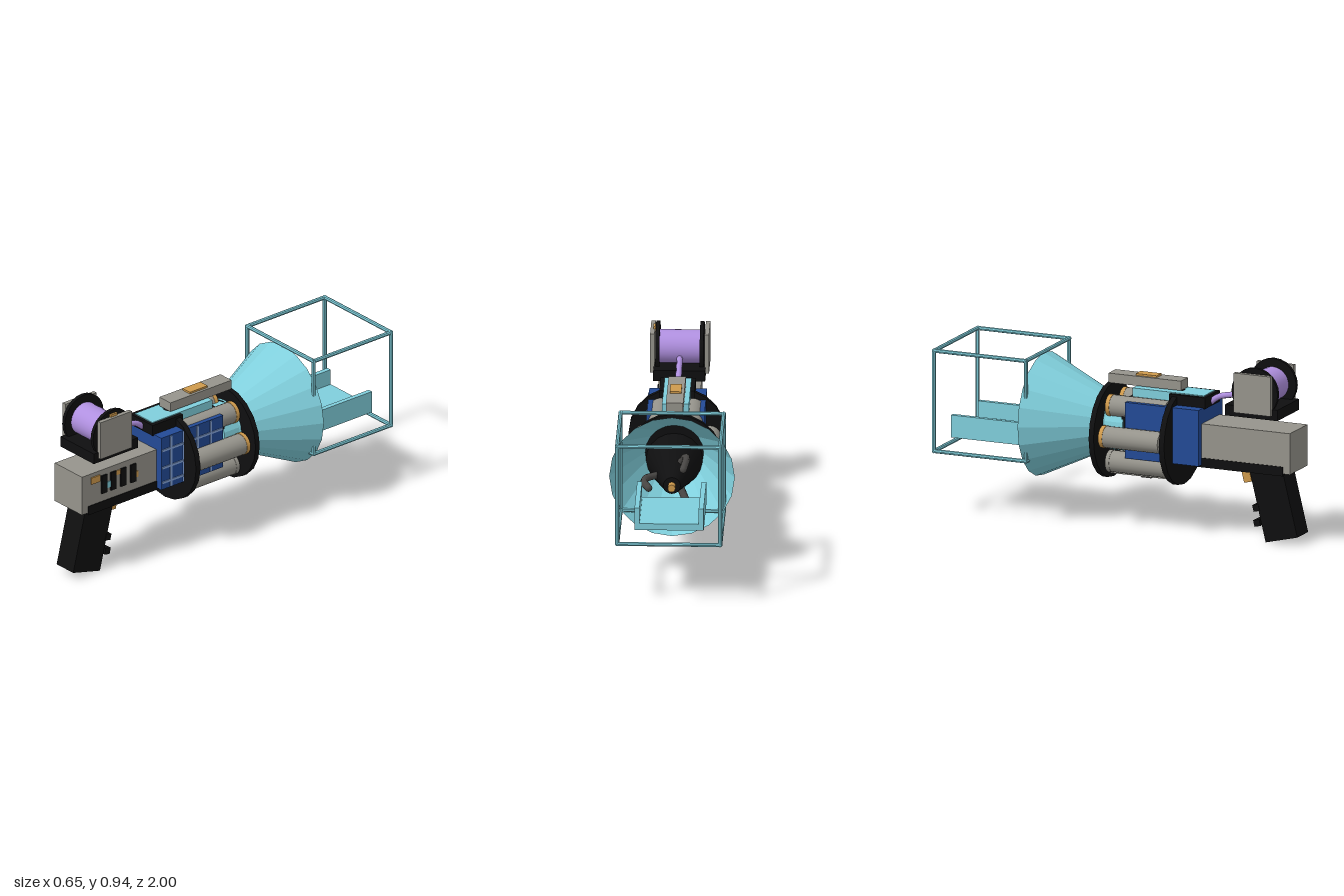
import * as THREE from 'three';

const mat = (name, color, extra = {}) => {
  const m = new THREE.MeshStandardMaterial({ color, ...extra });
  m.name = name;
  return m;
};

export function createModel() {
  const cyan = mat('cyan', 0x80cfdc, { flatShading: true, side: THREE.DoubleSide });
  const purple = mat('purple', 0xb090e0);
  const black = mat('black', 0x0f0f10);
  const grey = mat('grey', 0x96948c);
  const blue = mat('blue', 0x234a96);
  const gold = mat('gold', 0xcf9a4c);
  const dark = mat('dark grey', 0x484644);
  const line = mat('light blue', 0x86a6dc);

  const model = new THREE.Group();
  model.name = 'gadgetBlaster';
  const add = (name, geo, m, parent = model) => {
    const mesh = new THREE.Mesh(geo, m);
    mesh.name = name;
    parent.add(mesh);
    return mesh;
  };
  // box given by its limits on each axis
  const box = (name, m, x0, x1, y0, y1, z0, z1) => {
    const b = add(name, new THREE.BoxGeometry(x1 - x0, y1 - y0, z1 - z0), m);
    b.position.set((x0 + x1) / 2, (y0 + y1) / 2, (z0 + z1) / 2);
    return b;
  };
  // cylinder along z, r0 at z0 (back) and r1 at z1 (front)
  const rod = (name, m, x, y, z0, z1, r0, r1 = r0, sides = 20, open = false) => {
    const g = new THREE.CylinderGeometry(r1, r0, z1 - z0, sides, 1, open).rotateX(Math.PI / 2);
    const c = add(name, g, m);
    c.position.set(x, y, (z0 + z1) / 2);
    return c;
  };
  const tube = (name, m, pts, r) => add(name, new THREE.TubeGeometry(
    new THREE.CatmullRomCurve3(pts.map(p => new THREE.Vector3(...p))), 12, r, 8), m);

  // Receiver, rail, grip and trigger
  box('receiver', grey, -0.11, 0.11, 0.39, 0.61, 0.44, 0.98);
  box('underRail', black, -0.114, 0.114, 0.378, 0.428, 0.43, 0.94);
  const grip = add('grip', new THREE.BoxGeometry(0.134, 0.39, 0.187), black);
  grip.position.set(0, 0.213, 0.866);
  grip.rotation.x = -0.24;
  for (const [y, z] of [[0.18, 0.767], [0.1, 0.772]]) {
    const ridge = add('gripRidge', new THREE.BoxGeometry(0.14, 0.035, 0.035), black);
    ridge.position.set(0, y, z);
    ridge.rotation.x = -0.24;
  }
  const trigger = add('trigger', new THREE.BoxGeometry(0.045, 0.08, 0.045), gold);
  trigger.position.set(0, 0.34, 0.69);
  trigger.rotation.x = -0.24;

  // Side indicator slots and small lamps
  for (const z of [0.832, 0.77, 0.703, 0.635]) {
    box('indicatorSlot', black, 0.11, 0.119, 0.475, 0.578, z - 0.018, z + 0.018);
  }
  box('lamp', gold, 0.11, 0.117, 0.55, 0.588, 0.86, 0.92);
  box('lamp', gold, 0.11, 0.115, 0.55, 0.575, 0.72, 0.755);
  box('lamp', gold, 0.11, 0.115, 0.495, 0.53, 0.6, 0.62);
  box('lampCyan', cyan, 0.11, 0.115, 0.495, 0.53, 0.785, 0.815);

  // Spool and its carrier
  const spoolPart = (name, m, r, x0, x1, sides) => {
    const c = add(name, new THREE.CylinderGeometry(r, r, x1 - x0, sides).rotateZ(Math.PI / 2), m);
    c.position.set((x0 + x1) / 2, 0.812, 0.785);
  };
  spoolPart('spoolWinding', purple, 0.088, -0.106, 0.106, 32);
  for (const s of [-1, 1]) {
    spoolPart('spoolFlange', black, 0.132, s * 0.115 - 0.01, s * 0.115 + 0.01, 24);
    const plate = add('spoolSidePlate', new THREE.BoxGeometry(0.023, 0.212, 0.212), grey);
    plate.position.set(s * 0.142, 0.808, 0.784);
  }
  box('spoolBase', black, -0.135, 0.135, 0.677, 0.735, 0.62, 0.92);
  box('spoolCatch', gold, 0.128, 0.139, 0.9, 0.928, 0.762, 0.808);
  tube('tether', purple, [[0, 0.775, 0.7], [0, 0.755, 0.6], [0, 0.735, 0.52], [0, 0.69, 0.46]], 0.016);

  // Main body with grid panel on the left side
  box('body', blue, -0.15, 0.15, 0.39, 0.69, 0.055, 0.475);
  for (const z of [0.41, 0.32, 0.23, 0.14]) {
    box('gridLine', line, 0.15, 0.155, 0.395, 0.685, z - 0.006, z + 0.006);
  }
  for (const y of [0.615, 0.515, 0.43]) {
    box('gridLine', line, 0.15, 0.155, y - 0.006, y + 0.006, 0.06, 0.47);
  }
  box('topFrame', black, -0.092, 0.092, 0.685, 0.745, 0.28, 0.485);
  box('topWindow', cyan, -0.07, 0.07, 0.68, 0.75, 0.06, 0.468);
  box('innerCore', black, -0.12, 0.12, 0.43, 0.69, 0.02, 0.06);
  rod('neck', cyan, 0, 0.53, -0.09, 0.03, 0.135);

  // Two black rings clamp six canisters
  rod('frontRing', black, 0, 0.5, 0.295, 0.325, 0.253);
  rod('rearRing', black, 0, 0.5, -0.107, -0.079, 0.253);
  for (let i = 0; i < 6; i++) {
    const a = i * Math.PI / 3;
    const x = 0.172 * Math.cos(a), y = 0.5 + 0.172 * Math.sin(a);
    rod('canister', grey, x, y, -0.042, 0.275, 0.057);
    rod('canisterCap', i < 4 ? gold : grey, x, y, -0.064, -0.042, 0.059);
  }
  box('lowerBar', grey, -0.085, 0.085, 0.285, 0.34, -0.06, 0.275);
  box('lowerLatch', dark, -0.03, 0.03, 0.265, 0.287, 0.09, 0.15);
  box('topBar', grey, -0.045, 0.045, 0.757, 0.808, -0.09, 0.325);
  box('topButton', gold, -0.03, 0.03, 0.808, 0.818, 0.06, 0.18);

  // Flared open horn
  rod('horn', cyan, 0, 0.54, -0.48, -0.07, 0.327, 0.135, 20, true);

  // Hub with tip and three curved claws
  rod('hub', black, 0, 0.5, -0.505, -0.1, 0.045, 0.15);
  rod('hubTip', gold, 0, 0.5, -0.55, -0.5, 0.02, 0.02, 12);
  for (let i = 0; i < 3; i++) {
    const a = i * Math.PI * 2 / 3;
    const at = (r, z) => [r * Math.cos(a), 0.5 + r * Math.sin(a), z];
    const pts = [at(0.08, -0.34), at(0.135, -0.39), at(0.145, -0.46), at(0.12, -0.545)];
    tube('claw', dark, pts, 0.02);
    const tip = add('clawTip', new THREE.SphereGeometry(0.02, 8, 6), dark);
    tip.position.set(...pts[3]);
  }

  // Tray
  box('trayFloor', cyan, -0.18, 0.18, 0.405, 0.44, -0.93, -0.515);
  for (const s of [-1, 1]) {
    box('trayWall', cyan, s * 0.167 - 0.013, s * 0.167 + 0.013, 0.405, 0.525, -0.93, -0.515);
  }

  // Wire cage
  const X = 0.268, Y0 = 0.346, Y1 = 0.884, Z0 = -0.985, Z1 = -0.46, r = 0.011;
  const bar = (p, q) => {
    const a = new THREE.Vector3(...p), d = new THREE.Vector3(...q).sub(a);
    const b = add('cageBar', new THREE.CylinderGeometry(r, r, d.length() + r, 8), cyan);
    b.position.copy(a).addScaledVector(d, 0.5);
    b.quaternion.setFromUnitVectors(new THREE.Vector3(0, 1, 0), d.normalize());
  };
  for (const x of [-X, X]) {
    for (const z of [Z0, Z1]) bar([x, Y0, z], [x, Y1, z]);
    for (const y of [Y0, Y1]) bar([x, y, Z0], [x, y, Z1]);
  }
  for (const y of [Y0, Y1]) for (const z of [Z0, Z1]) bar([-X, y, z], [X, y, z]);

  return model;
}
